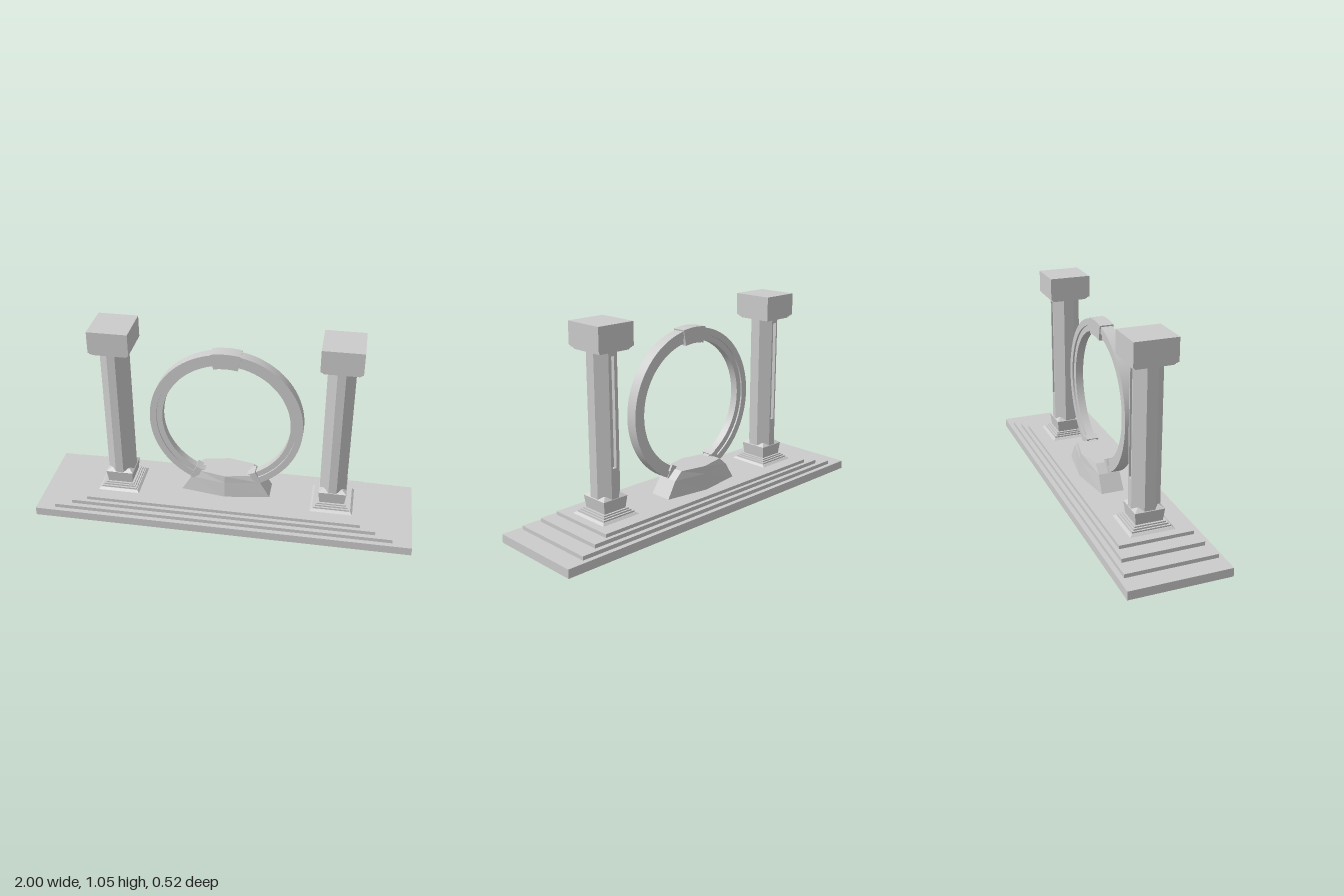
import * as THREE from 'three';
import { toCreasedNormals } from 'three/addons/utils/BufferGeometryUtils.js';

const material = new THREE.MeshStandardMaterial({ color: 0xcccccc, flatShading: true });
const smooth = new THREE.MeshStandardMaterial({ color: 0xcccccc });

function add(parent, name, geometry, mat = material) {
  const mesh = new THREE.Mesh(geometry, mat);
  mesh.name = name;
  parent.add(mesh);
  return mesh;
}

// Stacks cross-sections { y, pts: [[x, z], ...] } into a faceted solid.
function loft(sections, caps = true) {
  const n = sections[0].pts.length;
  const pos = [];
  const at = (s, i) => [s.pts[i % n][0], s.y, s.pts[i % n][1]];
  for (let k = 0; k + 1 < sections.length; k++) {
    const lo = sections[k], hi = sections[k + 1];
    for (let i = 0; i < n; i++) {
      const a = at(lo, i), b = at(lo, i + 1), c = at(hi, i + 1), d = at(hi, i);
      pos.push(...a, ...d, ...c, ...a, ...c, ...b);
    }
  }
  if (caps) {
    const lo = sections[0], hi = sections[sections.length - 1];
    for (let i = 1; i + 1 < n; i++) {
      pos.push(...at(lo, 0), ...at(lo, i), ...at(lo, i + 1));
      pos.push(...at(hi, 0), ...at(hi, i + 1), ...at(hi, i));
    }
  }
  const g = new THREE.BufferGeometry();
  g.setAttribute('position', new THREE.Float32BufferAttribute(pos, 3));
  g.computeVertexNormals();
  return g;
}

const rect = (hx, hz) => [[hx, -hz], [hx, hz], [-hx, hz], [-hx, -hz]];

function slab(parent, name, hx, hz, y0, y1) {
  add(parent, name, new THREE.BoxGeometry(hx * 2, y1 - y0, hz * 2)).position.y = (y0 + y1) / 2;
}

// Octagonal shaft outline, optionally with a groove in the back face.
function octagon(grooved) {
  const hx = 0.07, hz = 0.075, cx = 0.021, cz = 0.027, w = 0.012, d = 0.02;
  const groove = grooved ? [[-w, -hz], [-w, d - hz], [w, d - hz], [w, -hz]] : [];
  return [[hx, -cz], [hx, cz], [cx, hz], [-cx, hz], [-hx, cz], [-hx, -cz], [-cx, -hz], ...groove, [cx, -hz]];
}

function createColumn() {
  const column = new THREE.Group();

  // Stepped plinth and flared foot
  add(column, 'plinthSkirt', loft([
    { y: 0.1, pts: rect(0.115, 0.12) }, { y: 0.113, pts: rect(0.1, 0.103) }]));
  slab(column, 'plinthStep', 0.095, 0.1, 0.11, 0.121);
  slab(column, 'plinthStep', 0.086, 0.09, 0.12, 0.129);
  slab(column, 'plinthStep', 0.077, 0.081, 0.128, 0.136);
  add(column, 'foot', loft([
    { y: 0.135, pts: rect(0.065, 0.07) },
    { y: 0.2, pts: rect(0.073, 0.077) },
    { y: 0.216, pts: rect(0.05, 0.055) }]));

  // Shaft with a groove running down the back
  const spans = [[0.2, 0.355, false], [0.355, 0.9, true], [0.9, 0.93, false]];
  for (const [y0, y1, grooved] of spans) {
    const pts = octagon(grooved);
    add(column, 'shaft', loft([{ y: y0, pts }, { y: y1, pts }], !grooved));
  }

  // Stepped neck and square capital
  slab(column, 'neckStep', 0.086, 0.094, 0.922, 0.929);
  slab(column, 'neckStep', 0.091, 0.1, 0.928, 0.935);
  slab(column, 'neckStep', 0.097, 0.105, 0.934, 0.941);
  slab(column, 'capital', 0.103, 0.11, 0.94, 1.055);
  return column;
}

// Flat-sided arc of a ring in the xy plane, angles measured from +x.
function arcBlock(r0, r1, hz, start, end) {
  const shape = new THREE.Shape();
  shape.absarc(0, 0, r1, start, end, false);
  if (end - start > 6.28) {
    const hole = new THREE.Path();
    hole.absarc(0, 0, r0, 0, Math.PI * 2, true);
    shape.holes.push(hole);
  } else {
    shape.absarc(0, 0, r0, end, start, true);
  }
  const g = new THREE.ExtrudeGeometry(shape, { depth: hz * 2, bevelEnabled: false, curveSegments: 64 });
  g.translate(0, 0, -hz);
  return toCreasedNormals(g, 0.5);
}

function createRing() {
  const ring = new THREE.Group();
  ring.name = 'ring';
  ring.position.y = 0.545;
  const full = Math.PI * 2, up = Math.PI / 2;
  add(ring, 'outerBand', arcBlock(0.365, 0.4, 0.03, 0, full), smooth);
  add(ring, 'innerBand', arcBlock(0.335, 0.366, 0.021, 0, full), smooth);
  add(ring, 'keystone', arcBlock(0.325, 0.407, 0.036, up - 0.19, up + 0.19), smooth);
  // Collars where the ring enters the pedestal
  for (const s of [-1, 1]) {
    const a = -up + s * 0.45;
    add(ring, 'collar', arcBlock(0.329, 0.402, 0.033, a - 0.05, a + 0.05), smooth);
  }
  return ring;
}

// Pedestal cross-section: a hexagon pointed towards front and back
function hexagon(hx, end, mid) {
  const z = -0.027;
  return [[hx, z - end], [hx, z + end], [0, z + mid], [-hx, z + end], [-hx, z - end], [0, z - mid]];
}

export function createModel() {
  const model = new THREE.Group();
  model.name = 'ringMonument';

  // Stepped platform
  const steps = [[1, 0.26, 0, 0.045], [0.9, 0.235, 0.045, 0.065], [0.81, 0.21, 0.065, 0.085], [0.73, 0.19, 0.085, 0.103]];
  for (const s of steps) slab(model, 'platformStep', ...s);

  for (const side of [-1, 1]) {
    const column = createColumn();
    column.name = side > 0 ? 'leftColumn' : 'rightColumn';
    column.position.x = side * 0.573;
    model.add(column);
  }

  add(model, 'pedestal', loft([
    { y: 0.1, pts: hexagon(0.24, 0.06, 0.097) },
    { y: 0.188, pts: hexagon(0.187, 0.057, 0.088) },
    { y: 0.23, pts: hexagon(0.14, 0.055, 0.085) }]));
  model.add(createRing());
  return model;
}
